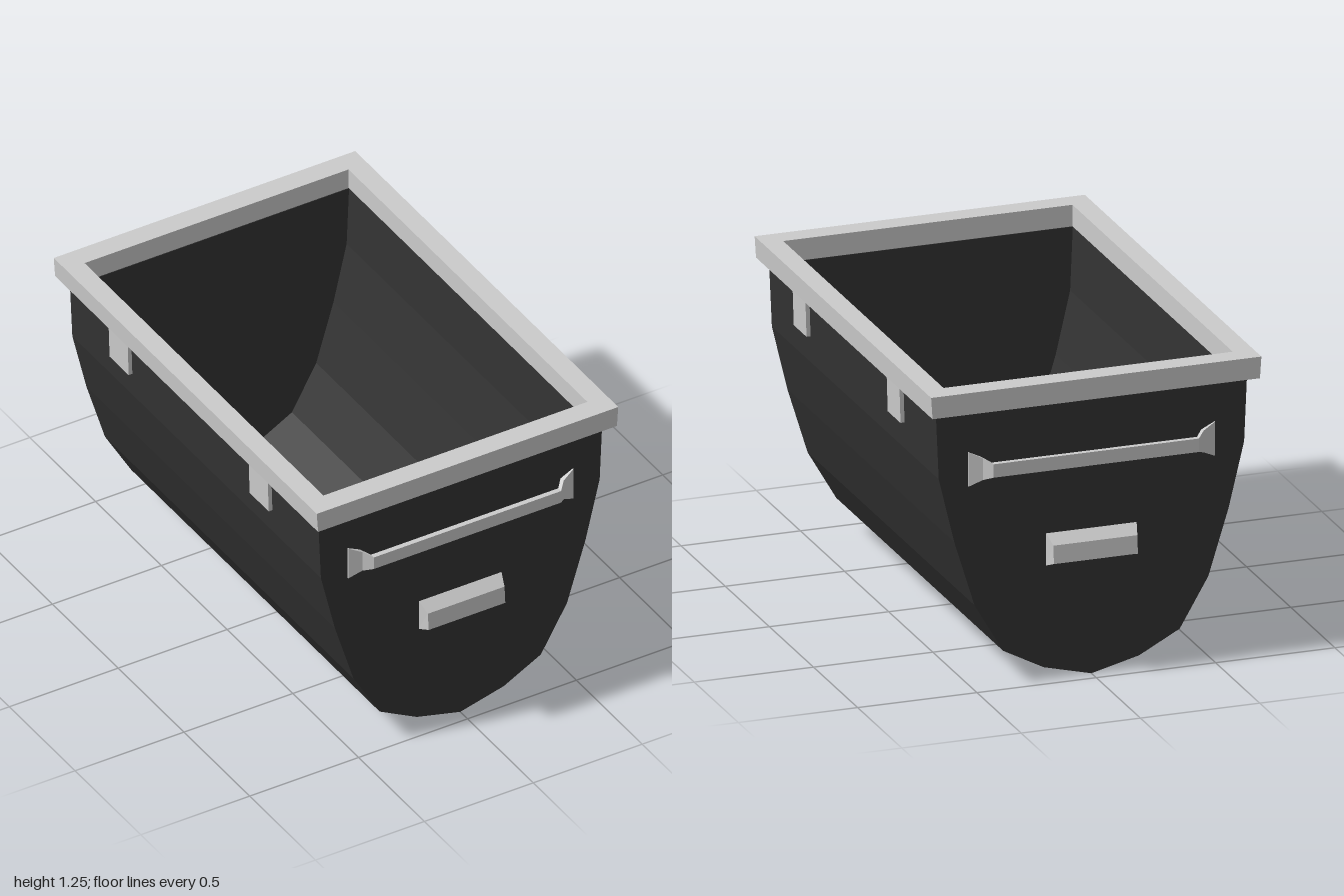
import * as THREE from 'three';

const grey = new THREE.MeshStandardMaterial({ color: 0xcccccc, flatShading: true, side: THREE.DoubleSide });
const dark = new THREE.MeshStandardMaterial({ color: 0x333333, flatShading: true });

function add(parent, name, geometry, material) {
  const mesh = new THREE.Mesh(geometry, material);
  mesh.name = name;
  parent.add(mesh);
  return mesh;
}

// Flat-shaded surface from a list of four-cornered faces
function quadSurface(quads) {
  const pos = quads.flatMap(([a, b, c, d]) => [a, b, c, a, c, d].flat());
  const g = new THREE.BufferGeometry();
  g.setAttribute('position', new THREE.Float32BufferAttribute(pos, 3));
  g.computeVertexNormals();
  return g;
}

// Joins equal rectangular sections running towards +x, capped at both ends
function loft(rings) {
  const quads = [];
  for (let i = 0; i < rings.length - 1; i++) {
    for (let j = 0; j < 4; j++) {
      const k = (j + 1) % 4;
      quads.push([rings[i][j], rings[i][k], rings[i + 1][k], rings[i + 1][j]]);
    }
  }
  quads.push([...rings[0]].reverse(), rings[rings.length - 1]);
  return quadSurface(quads);
}

function extrude(shape, depth, z) {
  return new THREE.ExtrudeGeometry(shape, { depth, bevelEnabled: false }).translate(0, 0, z);
}

const rect = (Type, x, z) => new Type([[-x, -z], [x, -z], [x, z], [-x, z]].map(p => new THREE.Vector2(...p)));

export function createModel() {
  const model = new THREE.Group();
  model.name = 'tub';

  // Rounded trough: a U-shaped wall closed by two end plates
  const top = 1.165;
  const half = [[0, 0], [0.2, 0.05], [0.37, 0.14], [0.49, 0.345], [0.575, 0.62], [0.64, 0.89], [0.652, top]];
  const outer = [...half.slice(1).reverse().map(([x, y]) => [-x, y]), ...half];
  const inner = outer.map(([x, y]) => [x * 0.93, top - (top - y) * 0.965]).reverse();
  const toShape = pts => new THREE.Shape(pts.map(p => new THREE.Vector2(...p)));
  add(model, 'troughWall', extrude(toShape([...outer, ...inner]), 1.81, -0.905), dark);
  add(model, 'frontEndPlate', extrude(toShape(outer), 0.04, 0.905), dark);
  add(model, 'backEndPlate', extrude(toShape(outer), 0.04, -0.945), dark);

  // Rim frame, slightly narrower along its lower outside edge
  const frame = rect(THREE.Shape, 0.692, 1);
  frame.holes.push(rect(THREE.Path, 0.606, 0.908));
  const rim = extrude(frame, 0.09, 0).rotateX(-Math.PI / 2).translate(0, top, 0);
  const p = rim.attributes.position;
  for (let i = 0; i < p.count; i++) {
    if (p.getY(i) < 1.2 && Math.abs(p.getX(i)) > 0.65) p.setX(i, Math.sign(p.getX(i)) * 0.686);
  }
  rim.computeVertexNormals();
  add(model, 'rim', rim, grey);

  // Hanging tabs below the rim on both long sides
  for (const side of [-1, 1]) {
    for (const z of [-0.5325, 0.5325]) {
      const tab = add(model, 'rimTab', new THREE.BoxGeometry(0.017, 0.155, 0.145), grey);
      tab.position.set(side * 0.668, 1.0925, z);
      tab.rotation.z = -side * 0.03;
    }
  }

  // Grab bar: x, half height, back z, front z; the feet flare on to the end plate
  const section = ([x, h, back, front]) =>
    [[x, 0.917 - h, front], [x, 0.917 - h, back], [x, 0.917 + h, back], [x, 0.917 + h, front]];
  const foot = [[0.43, 0.028, 0.978, 1], [0.462, 0.045, 0.943, 0.966], [0.517, 0.072, 0.94, 0.95]];
  const stations = [...[...foot].reverse().map(([x, ...r]) => [-x, ...r]), ...foot];
  const barGeometry = loft(stations.map(section));

  // Hooded pull, open underneath
  const edge = s => [[s * 0.19, 0.61, 0.943], [s * 0.176, 0.57, 0.99], [s * 0.176, 0.495, 0.996], [s * 0.19, 0.473, 0.943]];
  const L = edge(1), R = edge(-1);
  const pullGeometry = quadSurface([
    [R[0], R[1], L[1], L[0]],
    [R[1], R[2], L[2], L[1]],
    [L[0], L[1], L[2], L[3]],
    [R[3], R[2], R[1], R[0]],
  ]);

  for (const [name, turn] of [['frontHandles', 0], ['backHandles', Math.PI]]) {
    const handles = new THREE.Group();
    handles.name = name;
    add(handles, 'grabBar', barGeometry, grey);
    add(handles, 'hoodedPull', pullGeometry, grey);
    handles.rotation.y = turn;
    model.add(handles);
  }

  return model;
}
